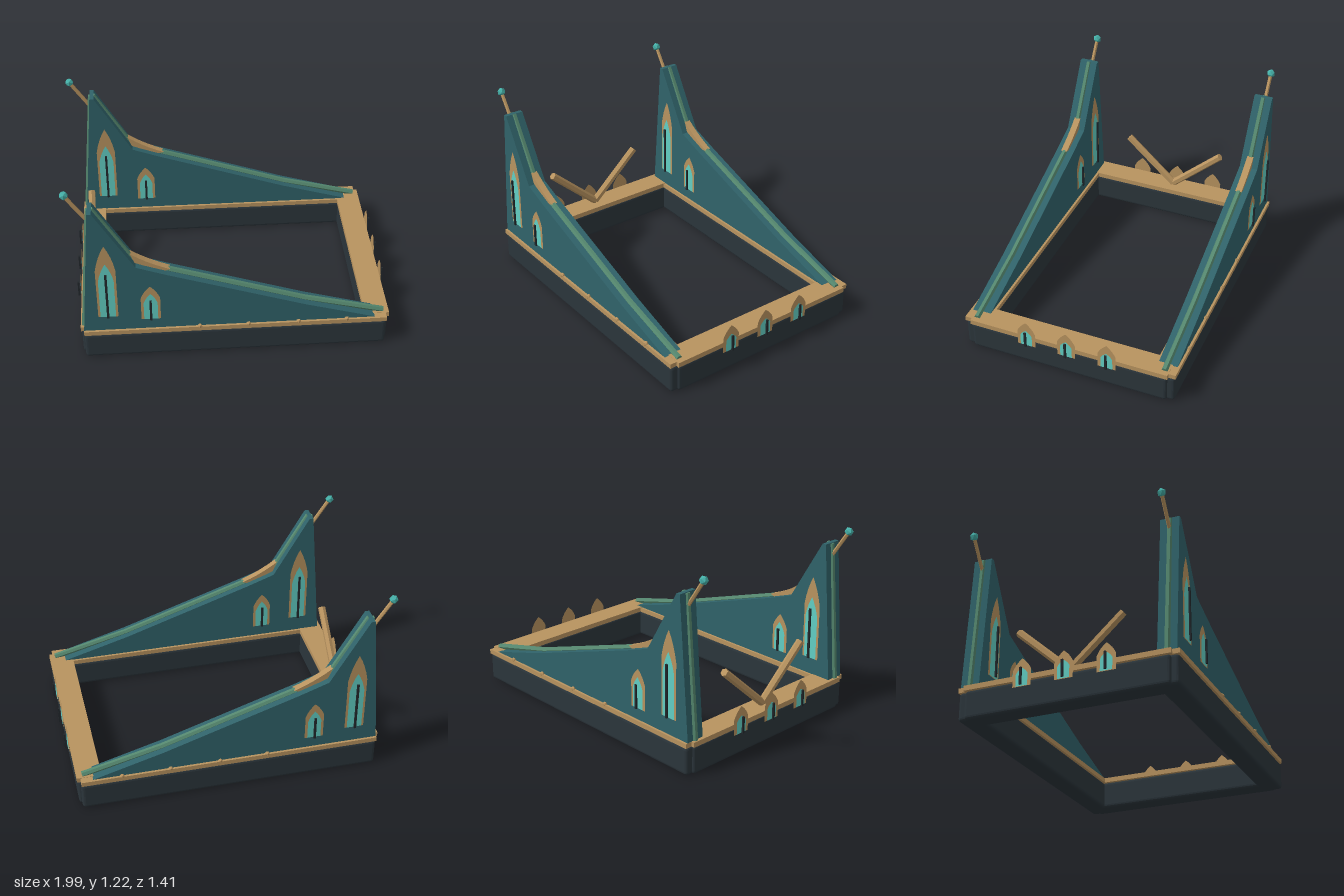
import * as THREE from 'three';
import { RoundedBoxGeometry } from 'three/addons/geometries/RoundedBoxGeometry.js';

const mat = (color, side = THREE.FrontSide) =>
  new THREE.MeshStandardMaterial({ color, flatShading: true, side });
const stone = mat(0x2b353b);
const wood = mat(0xb8935f);
const teal = mat(0x30636a);
const ridgeGreen = mat(0x55886f);
const gem = mat(0x45b0a8);
const dark = mat(0x22282c);
const frameMat = mat(0xb8935f, THREE.DoubleSide);
const glassMat = mat(0x62cfc4, THREE.DoubleSide);

function add(parent, name, geometry, material, x = 0, y = 0, z = 0) {
  const mesh = new THREE.Mesh(geometry, material);
  mesh.name = name;
  mesh.position.set(x, y, z);
  parent.add(mesh);
  return mesh;
}

// Round bar between two points
function bar(parent, name, a, b, radius, sides, material) {
  const from = new THREE.Vector3(...a), to = new THREE.Vector3(...b);
  const dir = to.clone().sub(from);
  const mesh = add(parent, name, new THREE.CylinderGeometry(radius, radius, dir.length(), sides), material);
  mesh.position.copy(from).add(to).multiplyScalar(0.5);
  mesh.quaternion.setFromUnitVectors(new THREE.Vector3(0, 1, 0), dir.normalize());
  return mesh;
}

// Pointed arch standing on y = 0
function arch(width, shoulder, height) {
  const w = width / 2, mid = (shoulder + height) / 2 + (height - shoulder) * 0.06;
  const s = new THREE.Shape();
  s.moveTo(-w, 0);
  s.lineTo(w, 0);
  s.lineTo(w, shoulder);
  s.quadraticCurveTo(w * 0.72, mid, 0, height);
  s.quadraticCurveTo(-w * 0.72, mid, -w, shoulder);
  s.closePath();
  return new THREE.ShapeGeometry(s, 4);
}

// Arched window facing +z: flat frame, glass and a mullion standing proud
function makeWindow(name, frame, glass, mullionHeight) {
  const g = new THREE.Group();
  g.name = name;
  add(g, 'windowFrame', arch(...frame), frameMat);
  add(g, 'windowGlass', arch(...glass), glassMat, 0, 0.002, 0.003);
  add(g, 'windowMullion', new THREE.BoxGeometry(0.014, mullionHeight, 0.01), dark, 0, mullionHeight / 2 + 0.005, 0.018);
  return g;
}

function makeSide() {
  const g = new THREE.Group();

  // Foundation and sill
  add(g, 'sideFoundation', new RoundedBoxGeometry(1.87, 0.18, 0.14, 2, 0.02), stone, 0.015, 0.09, 0);
  add(g, 'sideSill', new THREE.BoxGeometry(1.87, 0.03, 0.15), wood, 0.015, 0.195, 0);

  // Sweeping gable wall
  const profile = [[-0.92, 0.2], [-0.848, 1.095], [-0.822, 1.095], [-0.585, 0.69],
    [-0.4, 0.622], [0.44, 0.338], [0.91, 0.2]];
  const shape = new THREE.Shape(profile.map(p => new THREE.Vector2(...p)));
  const wall = new THREE.ExtrudeGeometry(shape, { depth: 0.12, bevelEnabled: false });
  add(g, 'gableWall', wall, teal, 0, 0, -0.06);

  // Ridge bars along the back edge and the roof line
  const ridge = [[-0.917, 0.21], [-0.842, 1.09], [-0.83, 1.09], [-0.595, 0.7],
    [-0.4, 0.625], [0.44, 0.342], [0.935, 0.215]];
  for (let i = 0; i < ridge.length - 1; i++) {
    if (i === 1) continue;
    bar(g, 'ridgeBar', [...ridge[i], 0], [...ridge[i + 1], 0], 0.019, 6, ridgeGreen);
  }

  // Curved brace over the bend of the roof line
  const brace = new THREE.Shape();
  brace.moveTo(-0.615, 0.762);
  brace.quadraticCurveTo(-0.51, 0.685, -0.38, 0.635);
  brace.lineTo(-0.42, 0.622);
  brace.lineTo(-0.59, 0.695);
  brace.closePath();
  add(g, 'bendBrace', new THREE.ExtrudeGeometry(brace, { depth: 0.042, bevelEnabled: false, curveSegments: 5 }),
    wood, 0, 0, -0.021);

  // Finial
  bar(g, 'finialRod', [-0.835, 0.99, 0], [-0.97, 1.19, 0], 0.012, 6, wood);
  add(g, 'finialBall', new THREE.IcosahedronGeometry(0.028, 0), gem, -0.972, 1.195, 0);

  // Windows on both faces of the wall
  for (const face of [1, -1]) {
    const tall = makeWindow('tallWindow', [0.122, 0.36, 0.545], [0.094, 0.28, 0.41], 0.335);
    tall.position.set(-0.765, 0.318, face * 0.063);
    const small = makeWindow('smallWindow', [0.118, 0.165, 0.256], [0.085, 0.125, 0.2], 0.155);
    small.position.set(-0.506, 0.285, face * 0.063);
    for (const w of [tall, small]) {
      if (face < 0) w.rotation.y = Math.PI;
      g.add(w);
    }
  }
  return g;
}

export function createModel() {
  const model = new THREE.Group();
  model.name = 'gabledFrame';

  // Two long sides
  for (const s of [1, -1]) {
    const side = makeSide();
    side.name = s > 0 ? 'frontSide' : 'backSide';
    side.position.z = s * 0.62;
    model.add(side);
    // Studs on the outer edge of the sill
    for (const x of [-0.21, 0.09, 0.4, 0.7])
      add(model, 'sillStud', new THREE.IcosahedronGeometry(0.016, 0), wood, x, 0.21, s * 0.686);
  }

  // Two short ends with their windows
  for (const [x, s] of [[0.895, 1], [-0.865, -1]]) {
    const end = new THREE.Group();
    end.name = s > 0 ? 'leftEnd' : 'rightEnd';
    end.position.x = x;
    add(end, 'endFoundation', new RoundedBoxGeometry(0.14, 0.18, 1.29, 2, 0.02), stone, 0, 0.09, 0);
    add(end, 'endSill', new THREE.BoxGeometry(0.152, 0.032, 1.3), wood, 0, 0.196, 0);
    for (const z of [-0.265, 0, 0.265]) {
      const w = makeWindow('endWindow', [0.118, 0.1, 0.176], [0.076, 0.075, 0.114], 0.108);
      w.position.set(s * 0.078, 0.14, z);
      w.rotation.y = s * Math.PI / 2;
      end.add(w);
    }
    model.add(end);
  }

  // Crossed pair of slanted posts on one end
  for (const s of [1, -1])
    bar(model, 'slantedPost', [-0.865, 0.225, 0], [-0.865, 0.528, s * 0.335], 0.025, 6, wood);

  return model;
}
